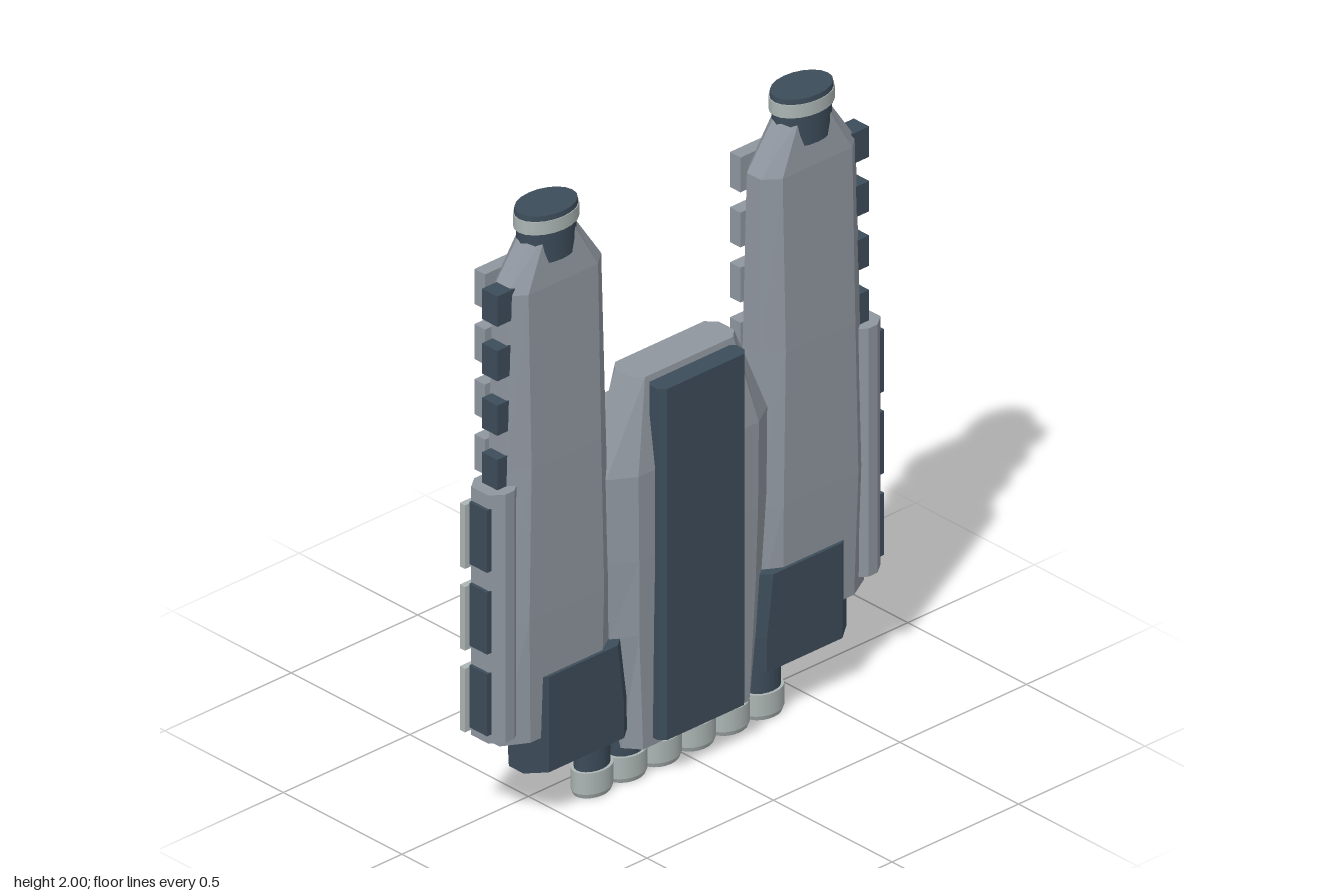
import * as THREE from 'three';

const mat = (name, color) => {
  const m = new THREE.MeshStandardMaterial({ color });
  m.name = name;
  return m;
};

// Loft through chamfered rectangles: [y, x0, x1, z0, z1, chamferX, chamferZ], low to high
function loft(sections) {
  const rings = sections.map(([y, x0, x1, z0, z1, cx, cz]) => [
    [x0 + cx, y, z1], [x1 - cx, y, z1], [x1, y, z1 - cz], [x1, y, z0 + cz],
    [x1 - cx, y, z0], [x0 + cx, y, z0], [x0, y, z0 + cz], [x0, y, z1 - cz]]);
  const pos = [];
  const tri = (...p) => p.forEach((v) => pos.push(...v));
  for (let r = 0; r < rings.length - 1; r++) {
    const a = rings[r], b = rings[r + 1];
    for (let i = 0; i < 8; i++) {
      const j = (i + 1) % 8;
      tri(a[i], a[j], b[j]);
      tri(a[i], b[j], b[i]);
    }
  }
  const lo = rings[0], hi = rings[rings.length - 1];
  for (let i = 1; i < 7; i++) {
    tri(lo[0], lo[i + 1], lo[i]);
    tri(hi[0], hi[i], hi[i + 1]);
  }
  const g = new THREE.BufferGeometry();
  g.setAttribute('position', new THREE.Float32BufferAttribute(pos, 3));
  g.computeVertexNormals();
  return g;
}

export function createModel() {
  const root = new THREE.Group();
  root.name = 'spacecraft';
  const hullGray = mat('hull gray', 0x8f969f);
  const darkSlate = mat('dark slate', 0x3c4c5a);
  const paleMetal = mat('pale metal', 0xacb6b4);
  const blue = mat('panel blue', 0x4a78ae);
  const teal = mat('teal light', 0x3899b2);

  const add = (name, geo, material, parent = root) => {
    const m = new THREE.Mesh(geo, material);
    m.name = name;
    parent.add(m);
    return m;
  };
  // Box given by its limits; s = -1 mirrors it in x
  const box = (name, material, x0, x1, y0, y1, z0, z1, parent = root, s = 1) => {
    const m = add(name, new THREE.BoxGeometry(x1 - x0, y1 - y0, z1 - z0), material, parent);
    m.position.set(s * (x0 + x1) / 2, (y0 + y1) / 2, (z0 + z1) / 2);
    return m;
  };
  // Elliptical drum
  const drum = (name, material, x, y0, y1, z, rTop, rBottom, flat, parent = root) => {
    const g = new THREE.CylinderGeometry(rTop, rBottom, y1 - y0, 20);
    g.scale(1, 1, flat);
    const m = add(name, g, material, parent);
    m.position.set(x, (y0 + y1) / 2, z);
    return m;
  };
  const slab = (name, material, w, y0, y1, z0, z1, c) =>
    add(name, loft([[y0, -w, w, z0, z1, c, c], [y1, -w, w, z0, z1, c, c]]), material);

  // Central hull
  add('centralHull', loft([
    [0.115, -0.25, 0.25, 0.02, 0.175, 0.04, 0.05],
    [0.50, -0.30, 0.30, 0.0, 0.18, 0.07, 0.05],
    [0.75, -0.315, 0.315, 0.0, 0.185, 0.08, 0.05],
    [1.03, -0.318, 0.318, 0.0, 0.185, 0.08, 0.05],
    [1.32, -0.205, 0.205, 0.02, 0.145, 0.03, 0.03],
  ]), hullGray);
  slab('frontSpine', darkSlate, 0.172, 0.14, 1.30, 0.14, 0.214, 0.02);

  // Stacked rear deck
  slab('rearDeck', hullGray, 0.275, 0.50, 1.16, -0.078, 0.02, 0.03);
  slab('deckSlot', darkSlate, 0.045, 0.80, 1.14, -0.10, -0.07, 0.008);
  slab('lowerTower', hullGray, 0.19, 0.515, 0.835, -0.142, -0.07, 0.02);
  slab('towerNeck', hullGray, 0.155, 0.53, 0.82, -0.16, -0.13, 0.005);
  slab('upperTower', hullGray, 0.175, 0.54, 0.815, -0.215, -0.148, 0.025);
  for (const [top, z] of [[0.895, -0.125], [0.915, -0.195]]) {
    box('antennaBar', paleMetal, -0.14, 0.14, top - 0.035, top, z - 0.01, z + 0.01);
    for (const x of [-0.08, 0.08])
      box('antennaPost', paleMetal, x - 0.01, x + 0.01, 0.8, top - 0.03, z - 0.006, z + 0.006);
  }

  // Engine row
  for (let i = 0; i < 6; i++) {
    const x = (i - 2.5) * 0.135, z = 0.095;
    drum('engineBody', darkSlate, x, 0.08, 0.24, z, 0.06, 0.06, 0.72);
    drum('engineRing', paleMetal, x, 0.015, 0.085, z, 0.07, 0.07, 0.74);
    drum('engineNozzle', paleMetal, x, 0, 0.015, z, 0.07, 0.063, 0.74);
  }

  for (const s of [1, -1]) {
    const pod = new THREE.Group();
    pod.name = s > 0 ? 'leftPod' : 'rightPod';
    root.add(pod);
    const sideLoft = (name, material, rows) => add(name, loft(rows.map(([y, a, b, ...r]) =>
      (s > 0 ? [y, a, b, ...r] : [y, -b, -a, ...r]))), material, pod);

    sideLoft('podHull', hullGray, [
      [0.295, 0.28, 0.72, 0.012, 0.158, 0.08, 0.045],
      [0.70, 0.29, 0.715, 0.0, 0.165, 0.065, 0.045],
      [1.20, 0.305, 0.70, 0.0, 0.163, 0.06, 0.045],
      [1.77, 0.315, 0.69, 0.012, 0.15, 0.05, 0.04],
      [1.93, 0.42, 0.585, 0.03, 0.13, 0.03, 0.03],
    ]);
    // Dark skirt around the pod base
    sideLoft('podSkirt', darkSlate, [
      [0.18, 0.225, 0.638, 0.02, 0.172, 0.058, 0.045],
      [0.295, 0.225, 0.638, 0.012, 0.172, 0.058, 0.045],
      [0.495, 0.25, 0.638, 0.012, 0.172, 0.058, 0.045],
    ]);
    // Nose cap
    drum('noseNeck', darkSlate, s * 0.505, 1.84, 1.95, 0.08, 0.1, 0.1, 0.7, pod);
    drum('noseRing', paleMetal, s * 0.505, 1.94, 1.983, 0.08, 0.11, 0.11, 0.7, pod);
    drum('noseCap', darkSlate, s * 0.505, 1.98, 2.0, 0.08, 0.105, 0.107, 0.7, pod);

    // Outer sponson with armour panels
    sideLoft('sponson', hullGray, [
      [0.33, 0.66, 0.775, 0.022, 0.155, 0.04, 0.03],
      [1.15, 0.66, 0.775, 0.022, 0.155, 0.04, 0.03],
    ]);
    for (const y of [0.36, 0.63, 0.90]) {
      box('sponsonPanel', darkSlate, 0.76, 0.785, y, y + 0.205, 0.055, 0.13, pod, s);
      box('sponsonRail', paleMetal, 0.76, 0.803, y - 0.01, y + 0.2, 0.034, 0.056, pod, s);
    }
    // Dark blocks along the outer edge
    for (let i = 0; i < 4; i++) {
      const y = 1.15 + i * 0.18;
      box('edgeBlock', darkSlate, 0.66, 0.735, y, y + 0.1, 0.055, 0.12, pod, s);
    }
    // Rear slats with blue strips
    for (let i = 0; i < 8; i++) {
      const y = 0.42 + i * 0.182;
      box('rearSlat', hullGray, 0.315, 0.695, y, y + 0.115, -0.02, 0.025, pod, s);
      box('slatStrip', blue, 0.345, 0.66, y + 0.036, y + 0.08, -0.034, -0.018, pod, s);
    }
    // Teal lights beside and below the deck
    box('lowerLight', teal, 0.13, 0.285, 0.405, 0.465, -0.022, 0.03, root, s);
    for (const y of [0.56, 0.69, 0.82])
      box('flankLight', teal, 0.25, 0.285, y, y + 0.07, -0.025, 0.03, root, s);
  }
  return root;
}
